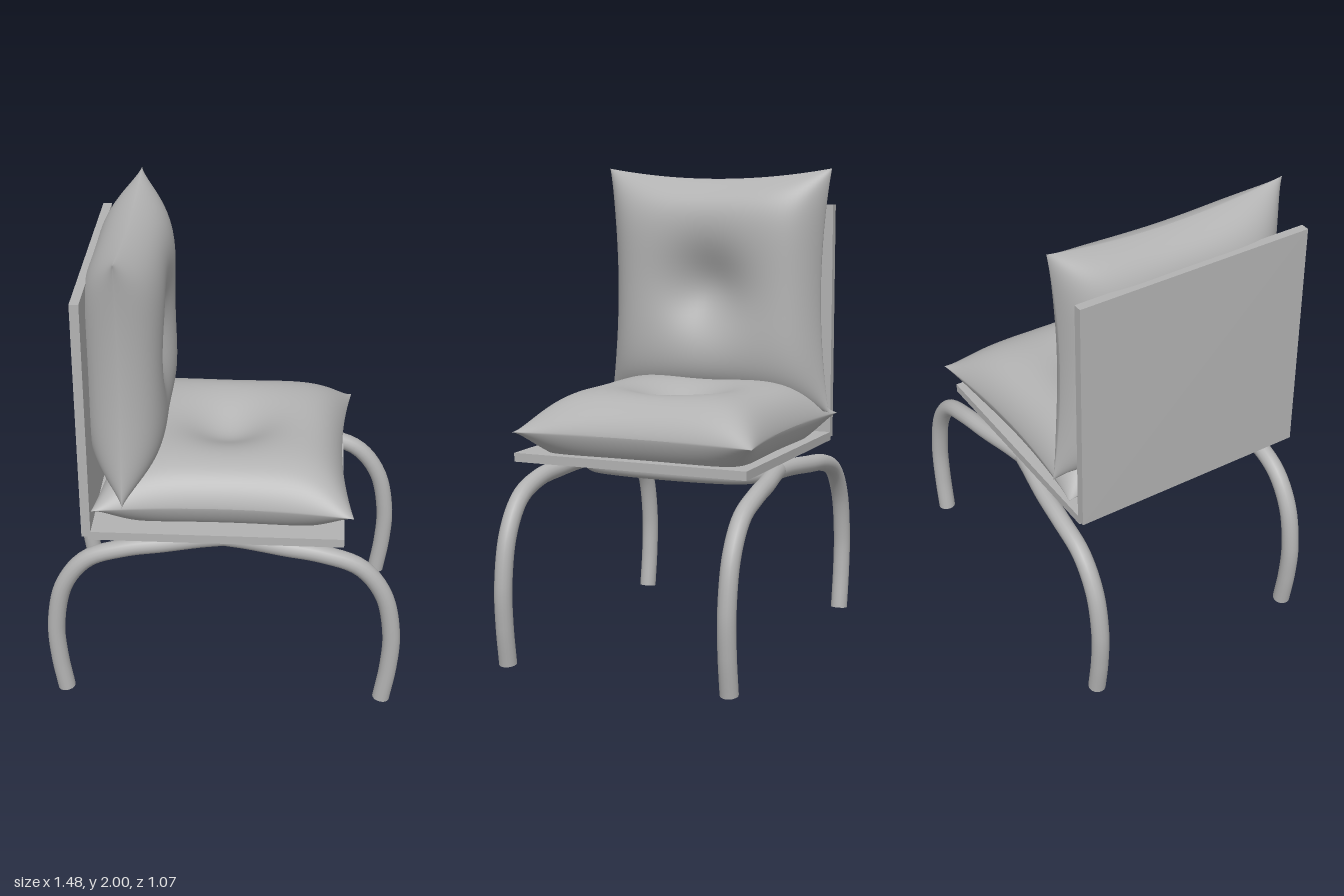
import * as THREE from 'three';
import { mergeGeometries, mergeVertices } from 'three/addons/utils/BufferGeometryUtils.js';

const grey = new THREE.MeshStandardMaterial({ color: 0xb2b2b2 });
grey.name = 'plain grey';

const Z0 = -0.012; // middle of the leg frame

function add(parent, name, geometry, x = 0, y = 0, z = 0) {
  const mesh = new THREE.Mesh(geometry, grey);
  mesh.name = name;
  mesh.position.set(x, y, z);
  parent.add(mesh);
  return mesh;
}

// Pillow lying flat: pinched edges, puffed body, dimple in the middle of both faces
function cushionGeometry(half, thick) {
  const side = new THREE.PlaneGeometry(2, 2, 56, 56).rotateX(-Math.PI / 2);
  side.deleteAttribute('uv');
  side.deleteAttribute('normal');
  const p = side.attributes.position;
  const puff = (t) => Math.pow(Math.max(0, 1 - Math.pow(Math.abs(t), 5)), 0.75);
  for (let i = 0; i < p.count; i++) {
    const u = Math.sin(p.getX(i) * Math.PI / 2);
    const v = Math.sin(p.getZ(i) * Math.PI / 2);
    const x = half * u * (1 - 0.085 * (1 - v * v) * u * u);
    const z = half * v * (1 - 0.085 * (1 - u * u) * v * v);
    const dimple = 0.1 * Math.exp(-(x * x + z * z) / (2 * 0.13 * 0.13));
    p.setXYZ(i, x, thick * puff(u) * puff(v) - dimple, z);
  }
  const both = mergeVertices(mergeGeometries([side, side.clone().rotateX(Math.PI)]), 1e-4);
  both.computeVertexNormals();
  return both;
}

// Bent tube: foot, arch, loop under the seat, arch, foot
function legPair(name) {
  const group = new THREE.Group();
  group.name = name;
  const half = [
    [-0.675, 0.005, 0.485], [-0.698, 0.17, 0.485], [-0.703, 0.34, 0.485],
    [-0.66, 0.54, 0.485], [-0.56, 0.67, 0.485], [-0.4, 0.727, 0.483],
    [-0.25, 0.743, 0.468], [-0.1, 0.755, 0.443], [0.05, 0.757, 0.41],
    [0.16, 0.757, 0.34], [0.2, 0.757, 0.2],
  ].map((a) => new THREE.Vector3(...a));
  const mirrored = half.map((a) => new THREE.Vector3(a.x, a.y, -a.z)).reverse();
  const curve = new THREE.CatmullRomCurve3([...half, ...mirrored], false, 'centripetal');
  add(group, 'legTube', new THREE.TubeGeometry(curve, 110, 0.037, 16));
  for (const [t, s] of [[0, -1], [1, 1]]) {
    const cap = add(group, 'footCap', new THREE.CircleGeometry(0.037, 16));
    cap.position.copy(curve.getPoint(t));
    const out = curve.getTangent(t).multiplyScalar(s);
    cap.quaternion.setFromUnitVectors(new THREE.Vector3(0, 0, 1), out);
  }
  group.position.z = Z0;
  return group;
}

export function createModel() {
  const model = new THREE.Group();
  model.name = 'chair';

  // Boards
  add(model, 'seatBoard', new THREE.BoxGeometry(1.03, 0.037, 1.025), -0.025, 0.823, 0.023);
  add(model, 'backBoard', new THREE.BoxGeometry(0.037, 1.025, 1.025), -0.548, 1.332, 0.023);

  // Cushions
  const cushion = cushionGeometry(0.525, 0.168);
  add(model, 'seatCushion', cushion, 0, 0.933, 0);
  add(model, 'backCushion', cushion, -0.4, 1.475, 0).rotation.z = -Math.PI / 2;

  // Legs
  model.add(legPair('rightLegs'));
  const left = legPair('leftLegs');
  left.rotation.y = Math.PI;
  model.add(left);
  return model;
}
